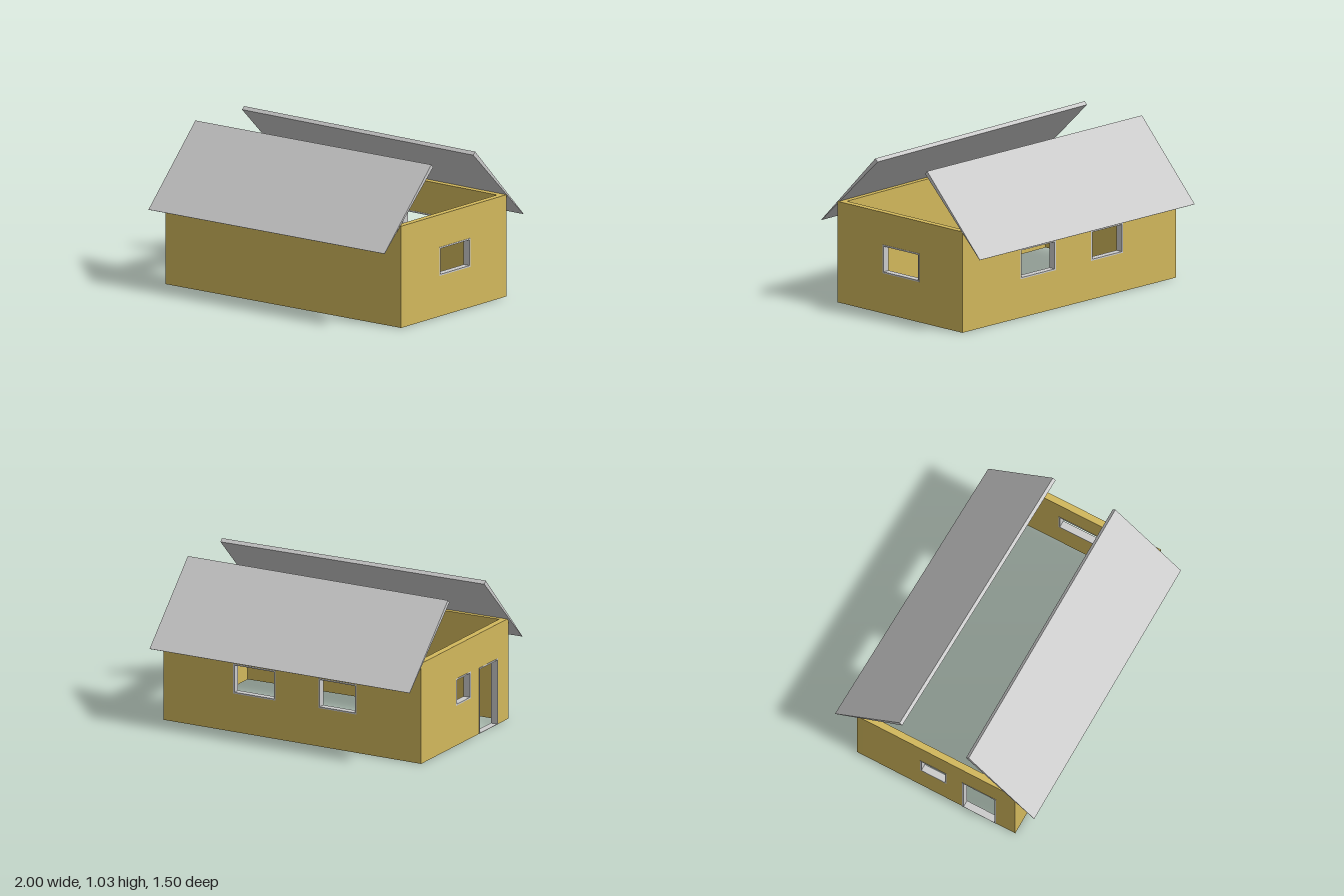
import * as THREE from 'three';

const WALL_HEIGHT = 0.685, THICK = 0.045, RIM = 0.01;
const wallMat = new THREE.MeshStandardMaterial({ color: 0xd2b85c });
const greyMat = new THREE.MeshStandardMaterial({ color: 0xcccccc });

function addRect(path, x0, y0, x1, y1) {
  path.moveTo(x0, y0);
  path.lineTo(x1, y0);
  path.lineTo(x1, y1);
  path.lineTo(x0, y1);
  path.closePath();
  return path;
}

// Grey lining of an opening; a door (y0 = 0) has no sill
function makeFrame(name, [x0, y0, x1, y1]) {
  const shape = addRect(new THREE.Shape(), x0, y0, x1, y1);
  const sill = y0 > 0 ? RIM : 0.003;
  shape.holes.push(addRect(new THREE.Path(), x0 + RIM, y0 + sill, x1 - RIM, y1 - RIM));
  const geo = new THREE.ExtrudeGeometry(shape, { depth: THICK + 0.004, bevelEnabled: false });
  geo.translate(0, 0, -THICK - 0.002);
  const mesh = new THREE.Mesh(geo, greyMat);
  mesh.name = name;
  return mesh;
}

// Wall between two outer corners [x, z]; openings measured along it from the first corner
function makeWall(name, a, b, inset, openings) {
  const dx = b[0] - a[0], dz = b[1] - a[1];
  const length = Math.hypot(dx, dz);
  const group = new THREE.Group();
  group.name = name;
  const shape = addRect(new THREE.Shape(), inset, 0, length - inset, WALL_HEIGHT);
  for (const { rect, label } of openings) {
    const [x0, y0, x1, y1] = rect;
    shape.holes.push(addRect(new THREE.Path(), x0, Math.max(y0, 0.001), x1, y1));
    group.add(makeFrame(label, rect));
  }
  const geo = new THREE.ExtrudeGeometry(shape, { depth: THICK, bevelEnabled: false });
  geo.translate(0, 0, -THICK);
  const mesh = new THREE.Mesh(geo, wallMat);
  mesh.name = name + 'Panel';
  group.add(mesh);
  group.position.set(a[0], 0, a[1]);
  group.rotation.y = Math.atan2(-dz, dx);
  return group;
}

// Sloping roof panel, thick at the ridge and thin at the eave; side is +1 front, -1 back
function makeRoof(name, side, shiftX, shiftZ, turn) {
  const profile = [[0.255, 1.035], [0.235, 1.015], [0.743, 0.525], [0.746, 0.527]];
  const shape = new THREE.Shape(profile.map(([z, y]) => new THREE.Vector2(z, y)));
  const geo = new THREE.ExtrudeGeometry(shape, { depth: 1.98, bevelEnabled: false });
  geo.translate(0, 0, -0.99);
  geo.rotateY(-side * Math.PI / 2);
  const mesh = new THREE.Mesh(geo, greyMat);
  mesh.name = name;
  mesh.position.set(shiftX, 0, shiftZ);
  mesh.rotation.y = turn;
  return mesh;
}

export function createModel() {
  const model = new THREE.Group();
  model.name = 'house';

  // Slightly skewed footprint: the back wall is not parallel to the front
  const frontLeft = [0.997, 0.59], frontRight = [-0.977, 0.59];
  const backLeft = [0.985, -0.53], backRight = [-0.98, -0.59];
  const inset = THICK - 0.002;

  model.add(
    makeWall('frontWall', frontRight, frontLeft, 0, []),
    makeWall('leftWall', frontLeft, backLeft, inset, [
      { label: 'leftWindowFrame', rect: [0.405, 0.273, 0.735, 0.466] },
    ]),
    makeWall('backWall', backLeft, backRight, 0, [
      { label: 'backWindowFrameA', rect: [0.533, 0.262, 0.857, 0.466] },
      { label: 'backWindowFrameB', rect: [1.183, 0.262, 1.474, 0.466] },
    ]),
    makeWall('rightWall', backRight, frontRight, inset, [
      { label: 'rightWindowFrame', rect: [0.47, 0.273, 0.668, 0.457] },
      { label: 'doorFrame', rect: [0.785, 0, 1.037, 0.45] },
    ]),
    // Roof panels with an open gap at the ridge
    makeRoof('frontRoof', 1, -0.005, 0, -0.003),
    makeRoof('backRoof', -1, -0.016, 0.02, -0.0278),
  );
  return model;
}
